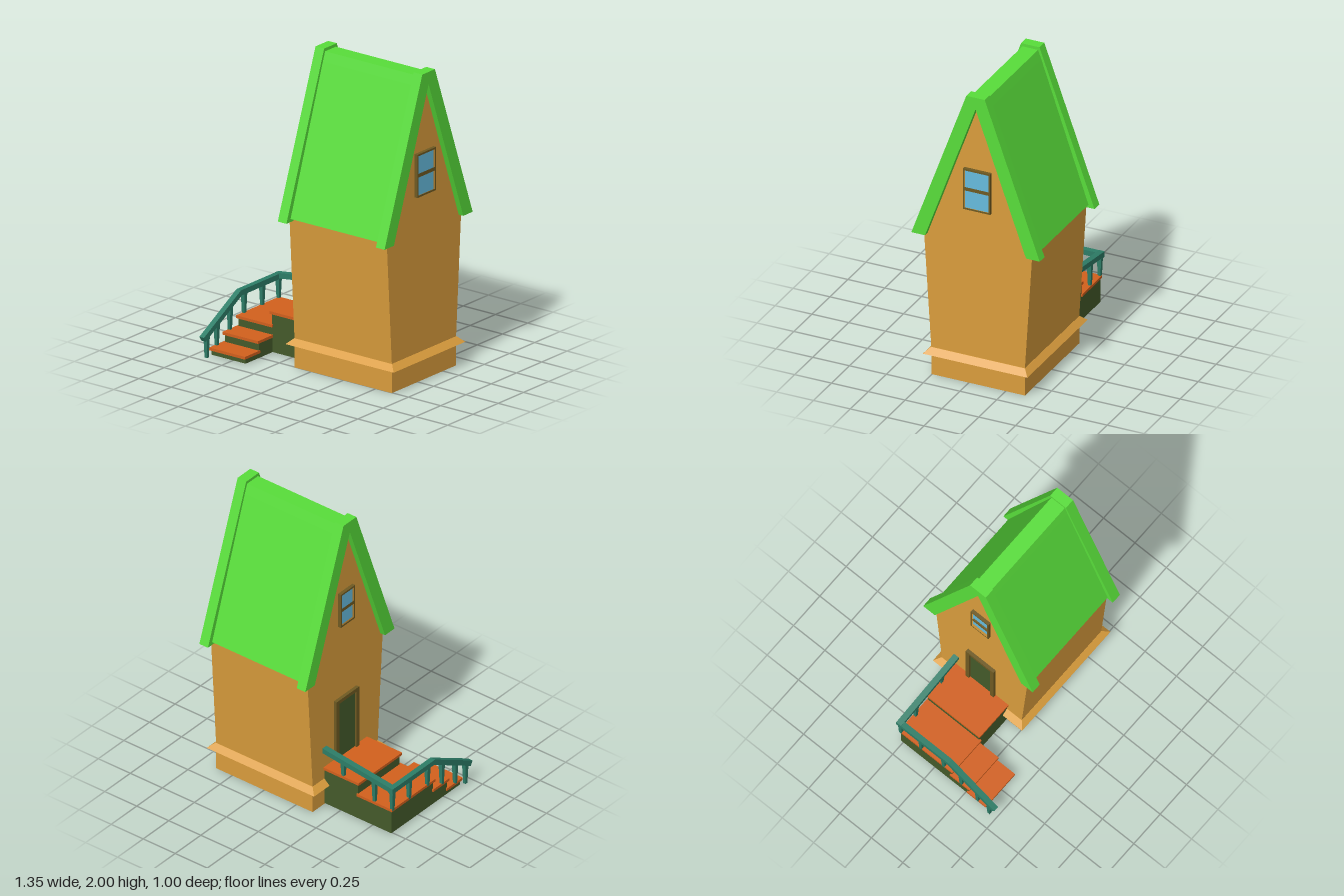
import * as THREE from 'three';

const mat = (color) => new THREE.MeshStandardMaterial({ color });
const TAN = mat(0xd99c3c), GREEN = mat(0x58dd3a), ORANGE = mat(0xd2601d), MOSS = mat(0x445a2a);
const TEAL = mat(0x2d7d67), BROWN = mat(0x6f5a22), GLASS = mat(0x66bbdd);

function add(parent, name, geometry, material) {
  const mesh = new THREE.Mesh(geometry, material);
  mesh.name = name;
  parent.add(mesh);
  return mesh;
}

// box given by its ranges
function block(parent, name, material, [x0, x1], [y0, y1], [z0, z1]) {
  const g = new THREE.BoxGeometry(x1 - x0, y1 - y0, z1 - z0);
  g.translate((x0 + x1) / 2, (y0 + y1) / 2, (z0 + z1) / 2);
  return add(parent, name, g, material);
}

const toShape = (pts) => new THREE.Shape(pts.map(([a, b]) => new THREE.Vector2(a, b)));

// profile of [z, y] points (with optional holes) extruded from x0 to x1
function prismX(pts, x0, x1, holes = []) {
  const flip = (list) => list.map(([z, y]) => [-z, y]);
  const shape = toShape(flip(pts));
  shape.holes = holes.map((h) => toShape(flip(h)));
  return new THREE.ExtrudeGeometry(shape, { depth: x1 - x0, bevelEnabled: false })
    .rotateY(Math.PI / 2).translate(x0, 0, 0);
}

// completes a half profile by mirroring it across z = 0
const mirrored = (half) => [...half, ...half.filter(([z]) => z !== 0).reverse().map(([z, y]) => [-z, y])];
const rect = (z0, z1, y0, y1) => [[z0, y0], [z1, y0], [z1, y1], [z0, y1]];

// framed sash window on a gable wall, dir = +1 or -1 along x
function addWindow(house, wallX, dir, halfW, y0, y1) {
  const group = new THREE.Group();
  group.name = 'window';
  const e = 0.012, mid = (y0 + y1) / 2 + 0.002, inner = halfW - e;
  const span = (d0, d1) => [wallX + dir * d0, wallX + dir * d1].sort((a, b) => a - b);
  const holes = [rect(-inner, inner, y0 + e, mid - 0.012), rect(-inner, inner, mid + 0.012, y1 - e)];
  add(group, 'windowFrame', prismX(rect(-halfW, halfW, y0, y1), ...span(-0.01, 0.022), holes), BROWN);
  block(group, 'windowGlass', GLASS, span(-0.01, 0.006), [y0 + 0.005, y1 - 0.005], [-halfW + 0.005, halfW - 0.005]);
  house.add(group);
}

function buildHouse() {
  const house = new THREE.Group();
  house.name = 'house';
  const X0 = -0.128, X1 = 0.626;

  // walls lean outwards up to the eaves, then form the gables
  add(house, 'walls', prismX(mirrored([[0.318, 0], [0.318, 0.19], [0.368, 0.99], [0, 1.94]]), X0, X1), TAN);

  // flared skirt around the base
  const skirt = new THREE.BoxGeometry(0.838, 0.037, 0.71);
  const p = skirt.attributes.position;
  for (let i = 0; i < p.count; i++) {
    if (p.getY(i) > 0) p.setXYZ(i, p.getX(i) * 0.905, p.getY(i), p.getZ(i) * 0.9);
  }
  skirt.computeVertexNormals();
  add(house, 'baseTrim', skirt.translate(0.25, 0.1705, 0), TAN);

  // roof and the thicker boards over both gables
  const roof = mirrored([[0.345, 0.99], [0.395, 0.99], [0.075, 1.92], [0.053, 1.98]]);
  add(house, 'roof', prismX([...roof, [0, 1.9]], -0.12, 0.615), GREEN);
  const board = [...mirrored([[0.343, 0.97], [0.436, 0.97], [0.0625, 2]]), [0, 1.92]];
  for (const x of [-0.165, 0.595]) add(house, 'gableBoard', prismX(board, x, x + 0.067), GREEN);

  addWindow(house, X1, 1, 0.0925, 1.205, 1.485);
  addWindow(house, X0, -1, 0.07, 1.24, 1.485);

  // door with its frame
  const frame = [[-0.11, 0.27], [-0.11, 0.71], [0.11, 0.71], [0.11, 0.27],
    [0.085, 0.27], [0.085, 0.685], [-0.085, 0.685], [-0.085, 0.27]];
  add(house, 'doorFrame', prismX(frame, -0.15, -0.12), BROWN);
  block(house, 'door', MOSS, [-0.135, -0.12], [0.27, 0.69], [-0.09, 0.09]);

  house.position.z = -0.0625;
  return house;
}

function buildPorch() {
  const porch = new THREE.Group();
  porch.name = 'porch';

  // x range, top height, z range of each level: two landings, two steps
  const levels = [
    [[-0.403, -0.125], 0.274, [-0.275, 0.15]],
    [[-0.662, -0.385], 0.19, [-0.275, 0.152]],
    [[-0.662, -0.385], 0.121, [0.13, 0.287]],
    [[-0.662, -0.385], 0.056, [0.265, 0.417]],
  ];
  for (const [x, top, z] of levels) {
    block(porch, 'tread', ORANGE, x, [top - 0.018, top], z);
    block(porch, 'stepBase', MOSS, [x[0] + 0.01, x[1] - 0.004], [0.008, top - 0.018], [z[0] + 0.008, z[1] - 0.012]);
  }

  // handrails: level then sloping along the side, rising along the back
  const side = [[-0.285, 0.315], [0.122, 0.315], [0.478, 0.115], [0.497, 0.145], [0.13, 0.35], [-0.285, 0.35]];
  add(porch, 'sideRail', prismX(side, -0.676, -0.64), TEAL);
  const back = toShape([[-0.676, 0.316], [-0.125, 0.386], [-0.125, 0.421], [-0.676, 0.351]]);
  add(porch, 'backRail', new THREE.ExtrudeGeometry(back, { depth: 0.039, bevelEnabled: false })
    .translate(0, 0, -0.285), TEAL);

  // tapered square balusters: x, z, bottom, top
  const posts = [
    [-0.66, 0.445, 0, 0.155], [-0.656, 0.35, 0.05, 0.21], [-0.656, 0.22, 0.115, 0.28],
    [-0.656, 0.08, 0.18, 0.33], [-0.656, -0.1, 0.18, 0.33], [-0.656, -0.262, 0.18, 0.33],
    [-0.518, -0.262, 0.18, 0.35], [-0.275, -0.262, 0.265, 0.38],
  ];
  for (const [x, z, y0, y1] of posts) {
    const g = new THREE.CylinderGeometry(0.021, 0.013, y1 - y0, 4).toNonIndexed();
    g.computeVertexNormals();
    add(porch, 'baluster', g.rotateY(Math.PI / 4).translate(x, (y0 + y1) / 2, z), TEAL);
  }
  return porch;
}

export function createModel() {
  const model = new THREE.Group();
  model.name = 'tallCottage';
  model.add(buildHouse(), buildPorch());
  return model;
}
